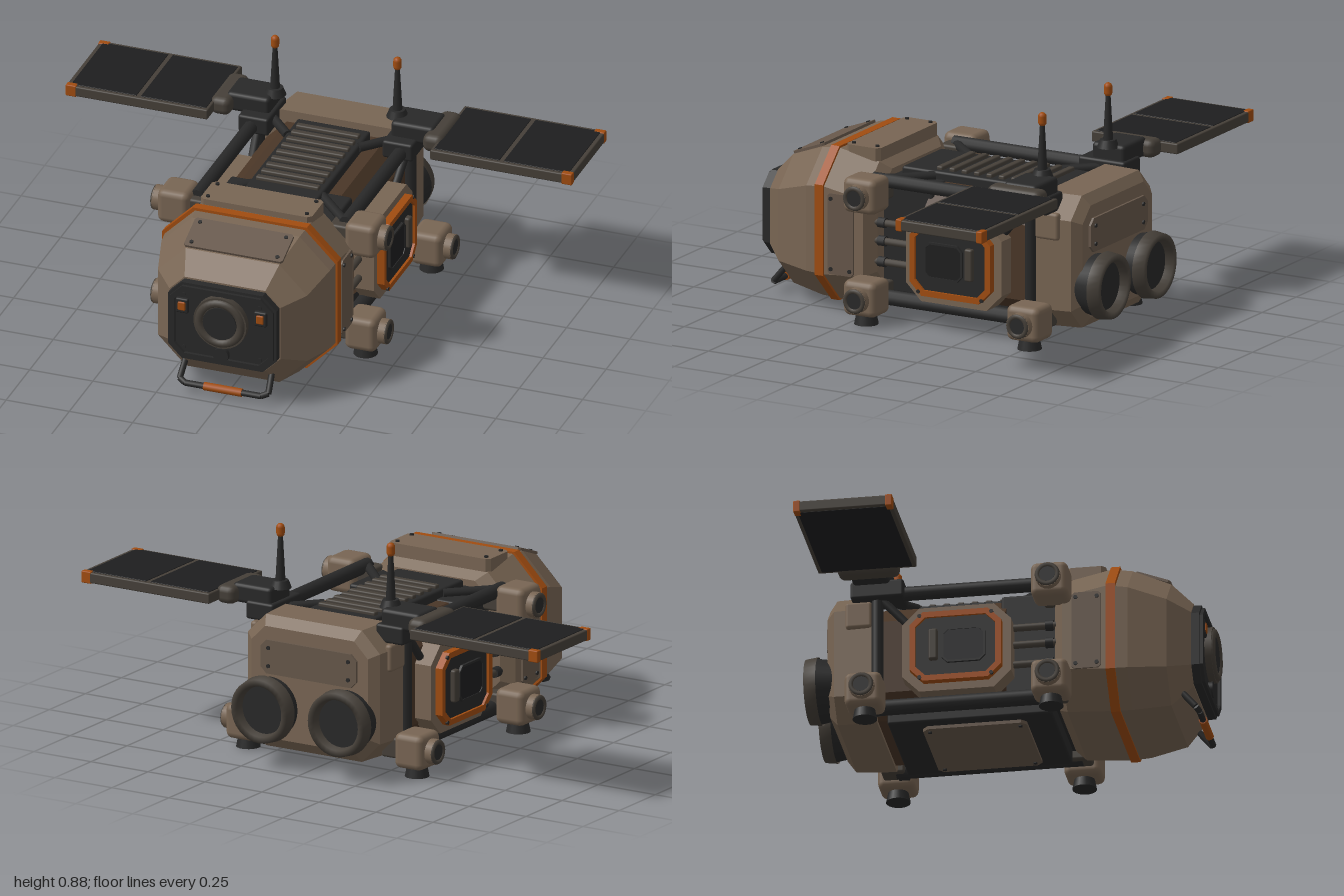
import * as THREE from 'three';
import { RoundedBoxGeometry } from 'three/addons/geometries/RoundedBoxGeometry.js';

const mat = (name, color) => new THREE.MeshStandardMaterial({ name, color });

export function createModel() {
  const root = new THREE.Group();
  root.name = 'spacecraft';
  const tan = mat('tan hull', 0x786553), panelTan = mat('panel tan', 0x66574a);
  const orange = mat('orange trim', 0xa04c10), dark = mat('dark frame', 0x282828);
  const gray = mat('warm gray', 0x453f38), brown = mat('dark brown', 0x4a3627);
  const black = mat('black cells', 0x1e1e1f);

  const add = (name, geo, material, x = 0, y = 0, z = 0, parent = root) => {
    const m = new THREE.Mesh(geo, material);
    m.name = name;
    m.position.set(x, y, z);
    parent.add(m);
    return m;
  };
  const box = (w, h, d, r = 0.01) => new RoundedBoxGeometry(w, h, d, 2, r);
  const cyl = (r0, r1, h, n = 20, open = false) => new THREE.CylinderGeometry(r0, r1, h, n, 1, open);
  const octagon = (hw, y0, y1, c) => [
    [hw, y0 + c], [hw, y1 - c], [hw - c, y1], [c - hw, y1],
    [-hw, y1 - c], [-hw, y0 + c], [c - hw, y0], [hw - c, y0]];

  // Chamfered plate rising from z = 0, optionally with a matching hole
  const plate = (w, h, c, d, rim = 0) => {
    const pts = (a, b, k) => octagon(a / 2, -b / 2, b / 2, k).map(p => new THREE.Vector2(...p));
    const s = new THREE.Shape(pts(w, h, c));
    if (rim) s.holes.push(new THREE.Path(pts(w - 2 * rim, h - 2 * rim, c * 0.75)));
    return new THREE.ExtrudeGeometry(s, { depth: d, bevelEnabled: false });
  };

  // Flat-faced hull through octagons [z, halfWidth, bottom, top, chamfer], back to front
  const loft = rows => {
    const rings = rows.map(([z, ...o]) => octagon(...o).map(([x, y]) => [x, y, z]));
    const v = [], last = rings.at(-1);
    for (let r = 0; r + 1 < rings.length; r++) for (let i = 0; i < 8; i++) {
      const j = (i + 1) % 8, [a, b] = [rings[r], rings[r + 1]];
      v.push(...a[i], ...a[j], ...b[j], ...a[i], ...b[j], ...b[i]);
    }
    for (let i = 1; i < 7; i++) {
      v.push(...rings[0][0], ...rings[0][i + 1], ...rings[0][i]);
      v.push(...last[0], ...last[i], ...last[i + 1]);
    }
    const g = new THREE.BufferGeometry();
    g.setAttribute('position', new THREE.Float32BufferAttribute(v, 3));
    g.computeVertexNormals();
    return g;
  };

  // Straight bar between two points
  const rod = (name, a, b, r, material, n = 10) => {
    const p = new THREE.Vector3(...a), q = new THREE.Vector3(...b);
    const m = add(name, cyl(r, r, p.distanceTo(q), n), material);
    m.position.copy(p).lerp(q, 0.5);
    m.quaternion.setFromUnitVectors(new THREE.Vector3(0, 1, 0), q.sub(p).normalize());
  };

  // Four bolts on a plate, in the plate's own plane
  const bolts = (parent, w, h, z) => {
    for (const a of [-1, 1]) for (const b of [-1, 1])
      add('bolt', cyl(0.008, 0.008, 0.008, 8), dark, a * w / 2, b * h / 2, z, parent).rotation.x = Math.PI / 2;
  };

  // Cabin
  add('cabin', loft([
    [0.19, 0.29, 0.07, 0.55, 0.11], [0.225, 0.335, 0.045, 0.58, 0.12], [0.395, 0.34, 0.033, 0.612, 0.12],
    [0.47, 0.333, 0.035, 0.602, 0.12], [0.61, 0.295, 0.055, 0.55, 0.11], [0.69, 0.22, 0.14, 0.475, 0.06]]), tan);
  add('cabinBand', loft([[0.39, 0.347, 0.027, 0.619, 0.122], [0.425, 0.347, 0.027, 0.619, 0.122]]), orange);
  const roof = add('roofHatch', plate(0.44, 0.145, 0.015, 0.05), tan, 0, 0.58, 0.295);
  roof.rotation.x = -Math.PI / 2;
  bolts(roof, 0.39, 0.1, 0.052);
  const nose = add('nosePanel', plate(0.39, 0.14, 0.008, 0.01), panelTan, 0, 0.577, 0.54);
  nose.rotation.x = -Math.PI / 2 + 0.36;
  bolts(nose, 0.34, 0.1, 0.01);

  // Face plate with camera and lights
  const face = add('facePlate', plate(0.43, 0.32, 0.055, 0.035), dark, 0, 0.308, 0.685);
  add('facePlateRim', plate(0.41, 0.3, 0.05, 0.012, 0.02), dark, 0, 0, 0.035, face);
  bolts(face, 0.3, 0.22, 0.036);
  const disc = (name, r, d, m, x, y, z) => { add(name, cyl(r, r, d, 28), m, x, y, z).rotation.x = Math.PI / 2; };
  disc('lensHousing', 0.105, 0.03, gray, 0, 0.335, 0.73);
  add('lensRing', new THREE.TorusGeometry(0.083, 0.017, 8, 32), gray, 0, 0.335, 0.741);
  disc('lens', 0.066, 0.006, dark, 0, 0.335, 0.747);
  disc('sensor', 0.03, 0.02, dark, 0, 0.195, 0.728);
  for (const s of [-1, 1]) {
    add('lampHousing', box(0.05, 0.06, 0.02, 0.006), dark, s * 0.155, 0.375, 0.725);
    add('lamp', box(0.03, 0.036, 0.016, 0.005), orange, s * 0.155, 0.375, 0.732);
  }
  // Bumper handle
  const grab = [[-0.17, 0.11, 0.65], [-0.175, 0.05, 0.7], [-0.15, 0.04, 0.71],
    [0.15, 0.04, 0.71], [0.175, 0.05, 0.7], [0.17, 0.11, 0.65]];
  for (let i = 0; i < 5; i++) rod('handle', grab[i], grab[i + 1], 0.012, dark);
  rod('handleGrip', [-0.075, 0.04, 0.71], [0.075, 0.04, 0.71], 0.016, orange);

  // Mid body and belly
  add('neck', box(0.48, 0.43, 0.24), dark, 0, 0.31, 0.1);
  add('midBody', loft([[-0.5, 0.275, 0.07, 0.52, 0.08], [0, 0.275, 0.07, 0.52, 0.08]]), brown);
  add('bellyBox', box(0.46, 0.09, 0.62), dark, 0, 0.085, -0.14);
  const belly = add('bellyPanel', plate(0.38, 0.39, 0.02, 0.015), panelTan, 0, 0.042, -0.13);
  belly.rotation.x = Math.PI / 2;
  bolts(belly, 0.33, 0.34, 0.016);

  // Slatted radiator along the back
  add('radiatorBed', box(0.29, 0.06, 0.64), dark, 0, 0.525, -0.15);
  for (let i = 0; i < 9; i++) add('radiatorSlat', box(0.25, 0.018, 0.026, 0.006), gray, 0, 0.56, 0.02 - i * 0.053);

  // Rear block and engines
  add('rearBlock', loft([[-0.67, 0.255, 0.1, 0.53, 0.06], [-0.64, 0.29, 0.06, 0.567, 0.08],
    [-0.49, 0.3, 0.055, 0.567, 0.08]]), tan);
  const rear = add('rearPanel', plate(0.42, 0.13, 0.025, 0.012), panelTan, 0, 0.415, -0.667);
  rear.rotation.y = Math.PI;
  bolts(rear, 0.35, 0.07, 0.013);
  const bell = [[0, 0.04], [0.085, 0.04], [0.098, 0.125], [0.12, 0.125], [0.121, 0.09], [0.128, 0.085], [0.105, 0]];
  for (const s of [-1, 1]) {
    const bellMesh = add('engineBell', new THREE.LatheGeometry(bell.slice(0, 3).map(p => new THREE.Vector2(...p)), 32),
      dark, s * 0.168, 0.223, -0.63);
    bellMesh.material = black;
    bellMesh.rotation.x = -Math.PI / 2;
    bellMesh.scale.y = 1;
    add('engineShell', cyl(0.124, 0.108, 0.095, 32), dark, 0, 0.047, 0, bellMesh).visible = true;
    const rim = new THREE.LatheGeometry([[0.128, 0.08], [0.122, 0.126], [0.098, 0.126], [0.085, 0.06]]
      .map(p => new THREE.Vector2(...p)), 32);
    add('engineRim', rim, gray, 0, 0, 0, bellMesh).material = gray;
    gray.side = black.side = THREE.DoubleSide;
  }

  // Thruster pod with side nozzle and optional foot nozzle
  const pod = (s, y, z, foot) => {
    const g = new THREE.Group();
    g.name = 'thrusterPod';
    g.position.set(s * 0.37, y, z);
    root.add(g);
    add('podBody', box(0.125, 0.135, 0.14, 0.025), tan, 0, 0, 0, g);
    add('podMount', box(0.1, 0.08, 0.09), gray, -s * 0.08, 0, 0, g);
    add('nozzle', cyl(0.048, 0.048, 0.035), tan, s * 0.073, 0, 0, g).rotation.z = Math.PI / 2;
    add('nozzleRing', new THREE.TorusGeometry(0.038, 0.01, 8, 24), gray, s * 0.088, 0, 0, g).rotation.y = Math.PI / 2;
    add('nozzleHole', cyl(0.03, 0.03, 0.006), dark, s * 0.09, 0, 0, g).rotation.z = Math.PI / 2;
    if (foot) add('footNozzle', cyl(0.036, 0.046, 0.05), dark, 0, -0.08, 0, g);
  };

  for (const s of [-1, 1]) {
    pod(s, 0.5, 0.19, false);
    pod(s, 0.105, 0.19, true);
    pod(s, 0.105, -0.51, true);

    // Outer truss
    rod('upperRail', [s * 0.295, 0.537, 0.2], [s * 0.295, 0.537, -0.5], 0.027, dark);
    rod('lowerRail', [s * 0.28, 0.085, 0.2], [s * 0.28, 0.085, -0.5], 0.03, dark);
    rod('post', [s * 0.3, 0.06, -0.475], [s * 0.3, 0.56, -0.475], 0.022, dark);
    rod('sideBrace', [s * 0.295, 0.52, -0.46], [s * 0.28, 0.37, -0.32], 0.016, dark);
    rod('frontBrace', [s * 0.29, 0.535, 0.19], [s * 0.14, 0.535, 0.03], 0.018, dark);
    rod('rearBrace', [s * 0.25, 0.545, -0.47], [s * 0.14, 0.545, -0.35], 0.018, dark);
    for (const y of [0.37, 0.3, 0.22]) {
      rod('pipe', [s * 0.285, y, 0.21], [s * 0.285, y, 0], 0.014, gray);
      rod('pipeClamp', [s * 0.285, y, 0.185], [s * 0.285, y, 0.155], 0.02, dark);
    }

    // Side hatch
    const hatch = new THREE.Group();
    hatch.name = 'sideHatch';
    hatch.position.set(s * 0.265, 0.28, -0.17);
    hatch.rotation.y = s * Math.PI / 2;
    root.add(hatch);
    add('hatchFrame', plate(0.41, 0.34, 0.065, 0.08), tan, 0, 0, 0, hatch);
    add('hatchTrim', plate(0.345, 0.28, 0.05, 0.03, 0.022), orange, 0, 0, 0.08, hatch);
    add('hatchDoor', plate(0.3, 0.236, 0.037, 0.02), dark, 0, 0, 0.08, hatch);
    add('hatchWindow', plate(0.16, 0.135, 0.02, 0.007), black, -s * 0.03, 0, 0.1, hatch);
    add('hatchWindowRim', plate(0.165, 0.14, 0.022, 0.01, 0.008), dark, -s * 0.03, 0, 0.1, hatch);
    add('hatchHandle', box(0.034, 0.125, 0.025, 0.008), gray, s * 0.083, 0.005, 0.108, hatch);
    bolts(hatch, 0.27, 0.25, 0.108);

    // Cabin and rear side panels
    const side = add('cabinSidePanel', plate(0.11, 0.31, 0.01, 0.01), panelTan, s * 0.335, 0.315, 0.317);
    side.rotation.y = s * Math.PI / 2;
    bolts(side, 0.08, 0.27, 0.011);
    add('rearSideBox', box(0.03, 0.105, 0.1, 0.012), tan, s * 0.295, 0.46, -0.545);

    // Solar wing and its arm
    add('wingArm', box(0.17, 0.075, 0.14, 0.015), dark, s * 0.325, 0.6, -0.49);
    add('armFoot', box(0.12, 0.07, 0.2), dark, s * 0.285, 0.545, -0.47);
    add('wingHinge', box(0.08, 0.07, 0.23, 0.025), gray, s * 0.42, 0.595, -0.487);
    add('wingFrame', box(0.56, 0.04, 0.37, 0.005), gray, s * 0.72, 0.595, -0.4875);
    for (const x of [0.58, 0.855]) add('solarCells', box(0.258, 0.006, 0.34, 0.002), black, s * x, 0.6145, -0.4875);
    add('wingUnderside', box(0.53, 0.006, 0.34, 0.002), black, s * 0.72, 0.5755, -0.4875);
    for (const z of [-0.66, -0.315]) add('wingCorner', box(0.042, 0.046, 0.026, 0.004), orange, s * 0.98, 0.595, z);

    // Antenna
    add('antennaBase', cyl(0.03, 0.042, 0.03), dark, s * 0.242, 0.642, -0.49);
    add('antennaMast', cyl(0.009, 0.019, 0.18, 12), dark, s * 0.242, 0.74, -0.49);
    add('antennaTip', new THREE.CapsuleGeometry(0.016, 0.022, 4, 12), orange, s * 0.242, 0.848, -0.49);
  }
  return root;
}
